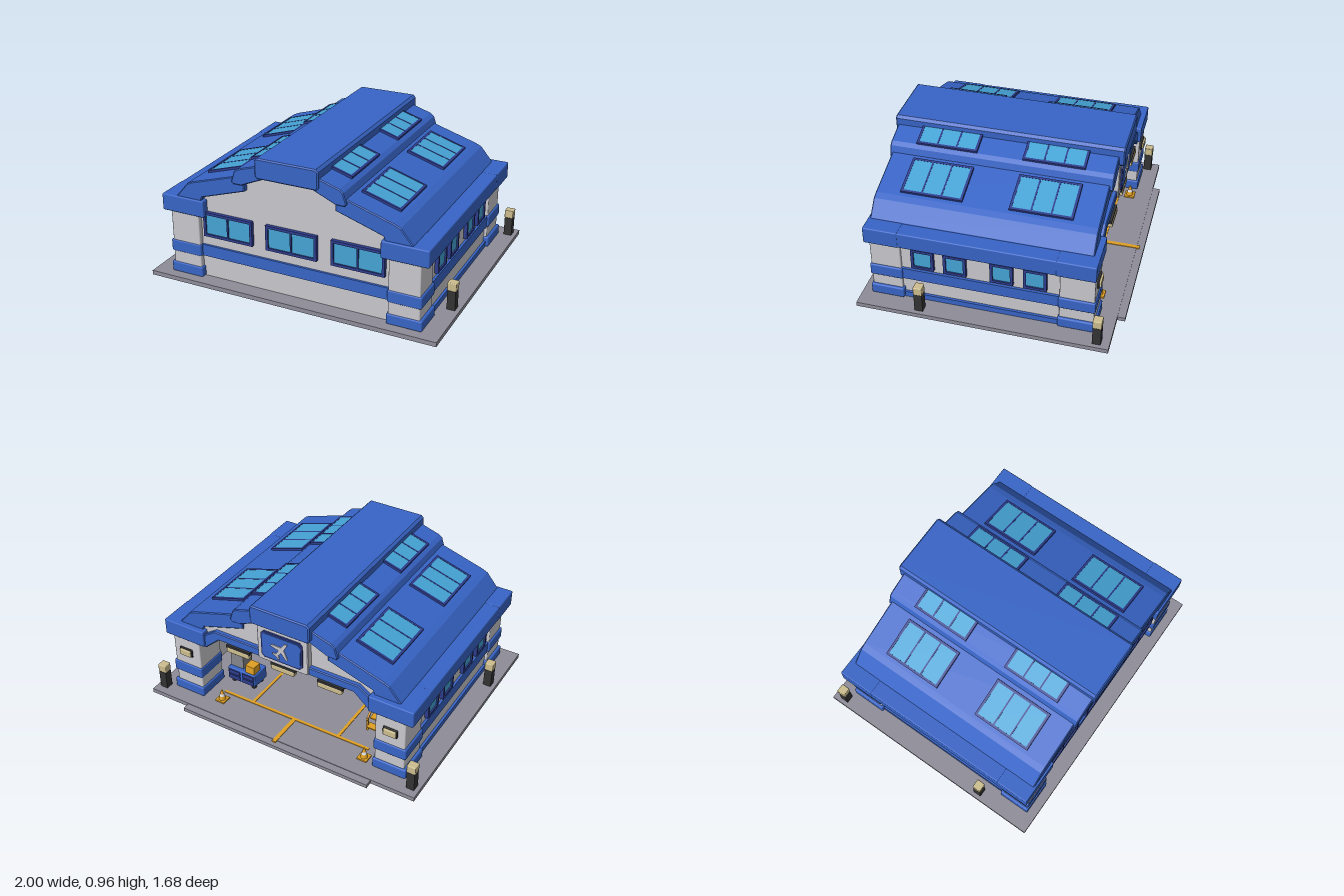
import * as THREE from 'three';
import { RoundedBoxGeometry } from 'three/addons/geometries/RoundedBoxGeometry.js';

const mat = (name, color, side = THREE.FrontSide) => {
  const m = new THREE.MeshStandardMaterial({ color, side });
  m.name = name;
  return m;
};

export function createModel() {
  const model = new THREE.Group();
  model.name = 'hangar';
  const blue = mat('roof blue', 0x3764c6), navy = mat('frame navy', 0x2d3c8c);
  const glass = mat('window glass', 0x45a3d5), wall = mat('wall grey', 0xc8c7cd);
  const floor = mat('concrete', 0x8d8c98), black = mat('black', 0x333333);
  const beige = mat('lamp beige', 0xccbd8e), yellow = mat('safety yellow', 0xe0a022);
  const white = mat('aircraft white', 0xe4e4e8), steel = mat('steel grey', 0x85868c);

  const add = (name, geo, material, parent = model) => {
    const m = new THREE.Mesh(geo, material);
    m.name = name;
    parent.add(m);
    return m;
  };
  // box from its min and max corners, with an optional softened edge
  const box = (name, material, x0, x1, y0, y1, z0, z1, r = 0, parent = model) => {
    const w = x1 - x0, h = y1 - y0, d = z1 - z0;
    const geo = r ? new RoundedBoxGeometry(w, h, d, 2, r) : new THREE.BoxGeometry(w, h, d);
    const m = add(name, geo, material, parent);
    m.position.set((x0 + x1) / 2, (y0 + y1) / 2, (z0 + z1) / 2);
    return m;
  };
  // box on side s (+1 or -1), given with positive x
  const sideBox = (s, name, material, x0, x1, ...rest) =>
    s > 0 ? box(name, material, x0, x1, ...rest) : box(name, material, -x1, -x0, ...rest);
  const toShape = pts => new THREE.Shape(pts.map(p => new THREE.Vector2(p[0], p[1])));
  // profile in x,y drawn out from z0 to z1
  const prism = (name, material, pts, z0, z1, bevel = 0, parent = model) => {
    const geo = new THREE.ExtrudeGeometry(toShape(pts), {
      depth: z1 - z0 - 2 * bevel, bevelEnabled: bevel > 0, bevelSize: bevel,
      bevelThickness: bevel, bevelOffset: -bevel, bevelSegments: 1,
    });
    geo.translate(0, 0, z0 + bevel);
    return add(name, geo, material, parent);
  };
  // half outline mirrored to a closed symmetric outline
  const mirrored = half => [...half, ...half.map(([x, y]) => [-x, y]).reverse()];
  const rect = (x0, y0, x1, y1) => [[x0, y0], [x1, y0], [x1, y1], [x0, y1]];

  // framed window facing local +z
  const windowUnit = (name, w, h, panes, border = 0.018, depth = 0.03) => {
    const g = new THREE.Group();
    g.name = name;
    const shape = toShape(rect(-w / 2, -h / 2, w / 2, h / 2));
    const bar = 0.01, pw = (w - 2 * border - (panes - 1) * bar) / panes;
    for (let i = 0; i < panes; i++) {
      const x = -w / 2 + border + i * (pw + bar);
      shape.holes.push(new THREE.Path(
        rect(x, -h / 2 + border, x + pw, h / 2 - border).map(p => new THREE.Vector2(...p))));
    }
    add('windowFrame', new THREE.ExtrudeGeometry(shape, { depth, bevelEnabled: false }), navy, g);
    box('windowGlass', glass, -w / 2 + 0.005, w / 2 - 0.005, -h / 2 + 0.005, h / 2 - 0.005,
      depth * 0.4, depth * 0.4 + 0.008, 0, g);
    model.add(g);
    return g;
  };

  // ground slab and apron
  box('groundSlab', floor, -1, 1, 0, 0.03, -0.79, 0.84);
  box('apron', floor, -0.7, 0.7, 0, 0.026, -0.84, -0.78);

  // end walls
  const gable = [[0.18, 0.84], [0.32, 0.75], [0.62, 0.62], [0.84, 0.52]];
  prism('frontWall', wall, mirrored([...gable, [0.84, 0.03]]), 0.7, 0.735);
  prism('backGable', wall, mirrored([...gable, [0.84, 0.45], [0.63, 0.45], [0.52, 0.57]]), -0.63, -0.6);
  prism('doorHeader', blue, mirrored(
    [[0.53, 0.61], [0.66, 0.52], [0.66, 0.45], [0.61, 0.45], [0.5, 0.55]]), -0.66, -0.58, 0.006);
  box('frontBand', blue, -0.66, 0.66, 0.18, 0.26, 0.73, 0.75);
  for (const x of [-0.452, 0, 0.452]) windowUnit('frontWindow', 0.355, 0.17, 2).position.set(x, 0.415, 0.73);

  // ridge cap
  prism('ridgeCap', blue, mirrored([[0.198, 0.957], [0.215, 0.94], [0.215, 0.84], [0.2, 0.822]]), -0.7, 0.8, 0.008);

  for (const s of [1, -1]) {
    // stepped roof slabs
    const flip = pts => pts.map(([x, y]) => [s * x, y]);
    prism('upperRoof', blue, flip([[0.16, 0.913], [0.16, 0.82], [0.32, 0.75], [0.38, 0.75],
      [0.392, 0.765], [0.37, 0.835], [0.345, 0.855]]), -0.665, 0.785, 0.006);
    prism('lowerRoof', blue, flip([[0.31, 0.815], [0.31, 0.705], [0.62, 0.605], [0.64, 0.56],
      [0.82, 0.56], [0.81, 0.585], [0.73, 0.68], [0.69, 0.698]]), -0.645, 0.77, 0.006);

    // skylights lying on the slopes
    for (const [x, y, len] of [[0.268, 0.879, 0.162], [0.538, 0.744, 0.268]]) {
      for (const z of [-0.28, 0.415]) {
        const a = 0.3, sky = windowUnit('skylight', 0.4, len, 3, 0.016, 0.016);
        const up = new THREE.Vector3(-s * Math.cos(a), Math.sin(a), 0);
        const out = new THREE.Vector3(s * Math.sin(a), Math.cos(a), 0);
        const along = new THREE.Vector3().crossVectors(up, out);
        sky.quaternion.setFromRotationMatrix(new THREE.Matrix4().makeBasis(along, up, out));
        sky.position.set(s * x, y, z);
      }
    }

    // side wall with bands and windows
    sideBox(s, 'sideWall', wall, 0.81, 0.845, 0.03, 0.5, -0.62, 0.72);
    sideBox(s, 'sideBand', blue, 0.84, 0.862, 0.18, 0.26, -0.46, 0.58);
    sideBox(s, 'sidePlinth', blue, 0.84, 0.862, 0.03, 0.068, -0.46, 0.58);
    for (const z of [0.425, 0.215, -0.085, -0.297]) {
      const w = windowUnit('sideWindow', 0.147, 0.147, 1);
      w.position.set(s * 0.84, 0.358, z);
      w.rotation.y = s * Math.PI / 2;
    }

    // eaves and corner pillars
    sideBox(s, 'eave', blue, 0.7, 0.915, 0.47, 0.58, -0.66, 0.77, 0.008);
    for (const [z0, z1] of [[0.57, 0.77], [-0.67, -0.45]]) {
      sideBox(s, 'pillar', wall, 0.658, 0.864, 0.03, 0.48, z0, z1, 0.008);
      sideBox(s, 'pillarFoot', blue, 0.648, 0.882, 0.03, 0.102, z0 - 0.012, z1 + 0.008, 0.01);
      sideBox(s, 'pillarBand', blue, 0.652, 0.876, 0.18, 0.262, z0 - 0.008, z1 + 0.006, 0.01);
      sideBox(s, 'eaveCorner', blue, 0.61, 0.917, 0.468, 0.582, z0 - 0.012, z1 + 0.014, 0.008);
    }
    sideBox(s, 'pillarLampFrame', black, 0.715, 0.815, 0.335, 0.395, -0.682, -0.668, 0.005);
    sideBox(s, 'pillarLamp', beige, 0.722, 0.808, 0.342, 0.388, -0.695, -0.678, 0.006);

    // bollard lights
    for (const z of [0.43, -0.71]) {
      sideBox(s, 'bollardPost', black, 0.918, 0.972, 0.03, 0.16, z - 0.027, z + 0.027);
      sideBox(s, 'bollardLamp', beige, 0.915, 0.975, 0.16, 0.217, z - 0.029, z + 0.029, 0.006);
    }

    // traffic cones
    const cx = s > 0 ? 0.525 : -0.57;
    box('coneBase', yellow, cx - 0.035, cx + 0.035, 0.03, 0.04, -0.675, -0.605);
    add('cone', new THREE.CylinderGeometry(0.006, 0.024, 0.07, 12), yellow).position.set(cx, 0.075, -0.64);
    add('coneStripe', new THREE.CylinderGeometry(0.0135, 0.0185, 0.018, 12), white).position.set(cx, 0.075, -0.64);
    box('bayLine', yellow, s * 0.33 - 0.01, s * 0.33 + 0.01, 0.03, 0.034, -0.56, 0.55);
  }

  // ceiling beams and floor markings
  for (const z of [-0.3, 0.05, 0.4]) box('ceilingBeam', blue, -0.82, 0.82, 0.54, 0.58, z - 0.02, z + 0.02);
  box('thresholdLine', yellow, -0.56, 0.56, 0.03, 0.034, -0.57, -0.55);
  box('centreLine', yellow, -0.014, 0.014, 0.03, 0.034, -0.79, -0.56);
  box('centreLineEnd', yellow, -0.014, 0.014, 0.026, 0.034, -0.81, -0.79);

  // door lamps
  for (const x of [-0.34, 0, 0.34]) {
    box('doorLampHousing', black, x - 0.09, x + 0.09, 0.535, 0.555, -0.675, -0.64);
    box('doorLamp', beige, x - 0.085, x + 0.085, 0.505, 0.54, -0.68, -0.64, 0.006);
  }

  // sign with a plain aircraft silhouette
  const plaque = (w, y0, y1, c) => mirrored([[w - c, y1], [w, y1 - c], [w, y0 + c], [w - c, y0]]);
  prism('signBacking', wall, plaque(0.185, 0.55, 0.82, 0.015), -0.67, -0.62, 0.005);
  prism('signPlate', navy, plaque(0.15, 0.585, 0.785, 0.02), -0.68, -0.66);
  prism('signPanel', blue, plaque(0.138, 0.597, 0.773, 0.016), -0.684, -0.678);
  const silhouette = prism('aircraftSilhouette', wall, mirrored([[0, 0.08], [0.011, 0.06], [0.011, 0.022],
    [0.07, -0.016], [0.07, -0.032], [0.011, -0.012], [0.009, -0.048], [0.03, -0.064], [0.03, -0.074], [0.004, -0.066]]
    .map(([x, y]) => [x || 0.002, y])), -0.003, 0.003);
  silhouette.position.set(0, 0.685, -0.687);
  silhouette.rotation.z = 0.6;

  // parked aircraft, nose towards the door
  const plane = new THREE.Group();
  plane.name = 'aircraft';
  model.add(plane);
  const profile = [[0, -0.17], [0.035, -0.155], [0.065, -0.11], [0.08, -0.04], [0.08, 0.25], [0.05, 0.45], [0.015, 0.58], [0, 0.58]];
  const body = add('fuselage', new THREE.LatheGeometry(
    new THREE.SplineCurve(profile.map(p => new THREE.Vector2(...p))).getPoints(28)
      .map(p => new THREE.Vector2(Math.max(0, p.x), p.y)), 24), white, plane);
  body.rotation.x = Math.PI / 2;
  body.position.y = 0.165;
  box('wings', white, -0.5, 0.5, 0.145, 0.16, 0.1, 0.24, 0.006, plane);
  box('tailplane', white, -0.18, 0.18, 0.185, 0.197, 0.47, 0.56, 0.005, plane);
  box('tailFin', blue, -0.008, 0.008, 0.18, 0.33, 0.46, 0.57, 0.006, plane);
  for (const [x, z] of [[-0.016, -0.07], [0.016, -0.07], [-0.12, 0.2], [0.12, 0.2]]) {
    const wheel = add('wheel', new THREE.CylinderGeometry(0.025, 0.025, 0.02, 16), black, plane);
    wheel.rotation.z = Math.PI / 2;
    wheel.position.set(x, 0.055, z);
    box('wheelStrut', steel, x - 0.006, x + 0.006, 0.055, 0.15, z - 0.006, z + 0.006, 0, plane);
  }

  // tool trolley with boxes
  box('trolleyBody', blue, 0.38, 0.6, 0.065, 0.16, -0.46, -0.32, 0.006);
  for (const x of [0.435, 0.545]) for (const y of [0.09, 0.132])
    box('trolleyDrawer', navy, x - 0.045, x + 0.045, y - 0.016, y + 0.016, -0.467, -0.458);
  for (const x of [0.41, 0.57]) for (const z of [-0.43, -0.35])
    add('trolleyCaster', new THREE.SphereGeometry(0.02, 10, 8), black).position.set(x, 0.05, z);
  box('yellowCrate', yellow, 0.39, 0.46, 0.16, 0.22, -0.45, -0.38);
  box('greyCrate', steel, 0.49, 0.59, 0.16, 0.26, -0.43, -0.33);

  // yellow boarding steps
  for (let i = 0; i < 4; i++)
    box('step', yellow, -0.56, -0.46, 0.06 + i * 0.04, 0.07 + i * 0.04, -0.42 + i * 0.05, -0.37 + i * 0.05);
  for (const x of [-0.56, -0.46]) {
    const rail = box('stepRail', yellow, x - 0.006, x + 0.006, 0.19, 0.202, -0.44, -0.18);
    rail.rotation.x = -0.67;
    for (const [z, h] of [[-0.4, 0.13], [-0.22, 0.27]]) box('stepPost', yellow, x - 0.006, x + 0.006, 0.03, h, z - 0.006, z + 0.006);
  }
  return model;
}
